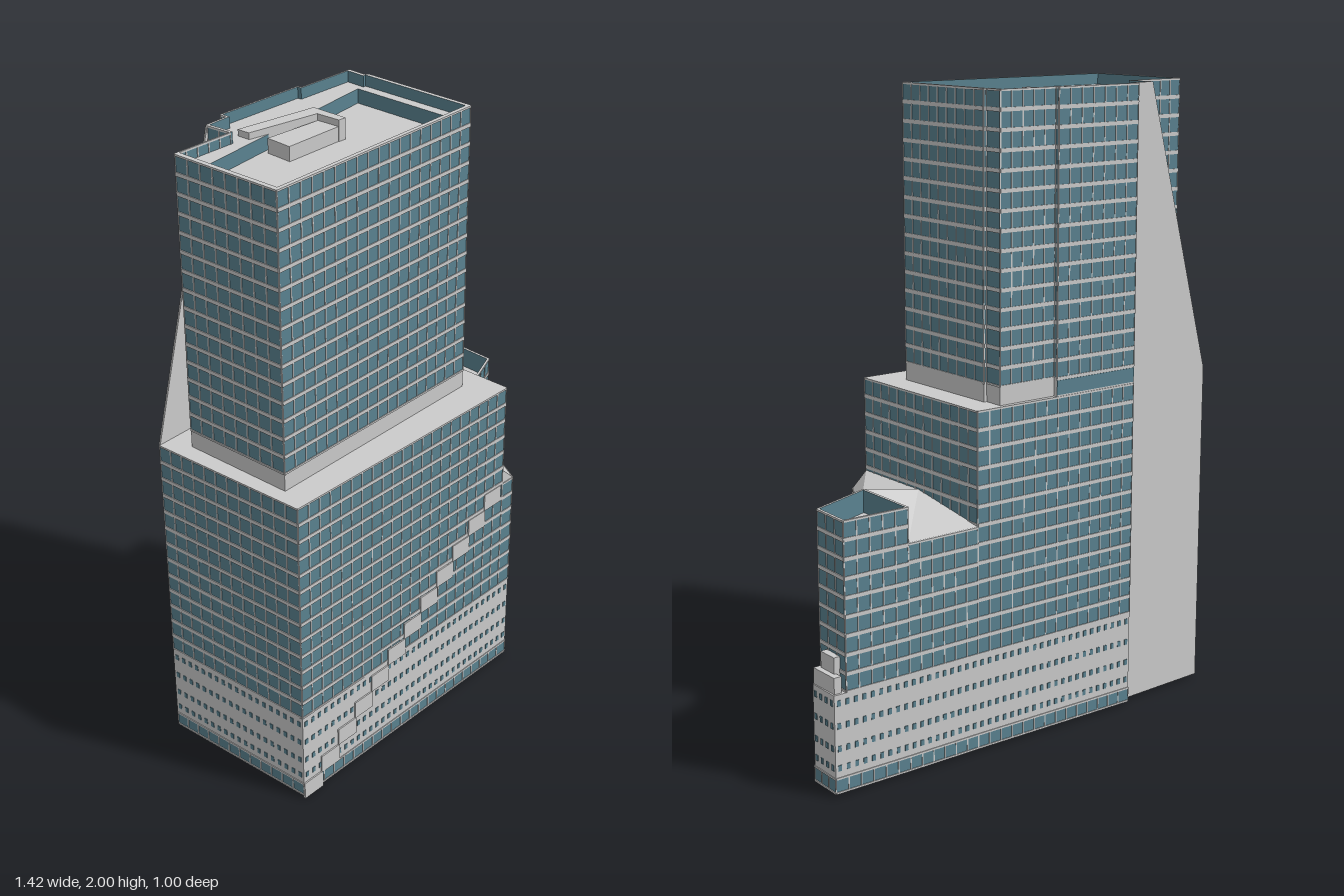
import * as THREE from 'three';
import { mergeGeometries } from 'three/addons/utils/BufferGeometryUtils.js';

const grey = new THREE.MeshStandardMaterial({ color: 0xcccccc });
const greyThin = new THREE.MeshStandardMaterial({ color: 0xcccccc, side: THREE.DoubleSide, flatShading: true });
const glass = new THREE.MeshStandardMaterial({ color: 0x5a8290 });

// Plan points are [x, z]
const A = [-0.71, -0.01], B = [-0.51, 0.49], C = [0.42, 0.19], D = [0.49, -0.2];
const W = [0.42, -0.42], P = [-0.39, -0.13], P2 = [-0.4, -0.155];
const M0 = [0.18, -0.34], M1 = [0.37, 0.206];
const basePlan = [A, B, C, D, [0.67, -0.35], [0.705, -0.39], [0.67, -0.5], W, M0, P2, P];
const midPlan = [A, B, M1, M0, P2, P];
const linkPlan = [M1, C, D, W, M0];
const wingPlan = [W, D, [0.67, -0.35], [0.63, -0.487]];
const towerPlan = [[-0.63, 0.045], [-0.5, 0.395], [0.255, 0.13], [0.125, -0.24], [0.115, -0.237],
  [0.095, -0.3], [-0.1, -0.237], [-0.105, -0.25], P2, P, [-0.467, -0.1], [-0.433, -0.02]];
const pitPlan = [[-0.555, 0.085], [-0.466, 0.335], [0.198, 0.098], [0.084, -0.228]];

const toVectors = (pts) => pts.map(([x, z]) => new THREE.Vector2(x, -z));

// Plan shrunk towards its centre
function inset(pts, k) {
  const cx = pts.reduce((s, p) => s + p[0], 0) / pts.length;
  const cz = pts.reduce((s, p) => s + p[1], 0) / pts.length;
  return pts.map(([x, z]) => [cx + (x - cx) * k, cz + (z - cz) * k]);
}

export function createModel() {
  const model = new THREE.Group();

  function add(name, geometry, material = grey) {
    const mesh = new THREE.Mesh(geometry, material);
    mesh.name = name;
    model.add(mesh);
    return mesh;
  }

  // Upright prism over a plan, with grey caps
  function prism(name, pts, y0, y1, side = grey, hole = null) {
    const shape = new THREE.Shape(toVectors(pts));
    if (hole) shape.holes.push(new THREE.Path(toVectors(hole)));
    const g = new THREE.ExtrudeGeometry(shape, { depth: y1 - y0, bevelEnabled: false });
    g.rotateX(-Math.PI / 2).translate(0, y0, 0);
    return add(name, g, [grey, side]);
  }

  // Box lying along the line p-q between distances s0 and s1
  function wallBox(p, q, s0, s1, y0, y1, thick) {
    const dx = q[0] - p[0], dz = q[1] - p[1], len = Math.hypot(dx, dz);
    const s = (s0 + s1) / 2 / len;
    return new THREE.BoxGeometry(s1 - s0, y1 - y0, thick)
      .rotateY(Math.atan2(-dz, dx))
      .translate(p[0] + dx * s, (y0 + y1) / 2, p[1] + dz * s);
  }

  function eachEdge(pts, skip, fn) {
    pts.forEach((p, i) => {
      if (skip.includes(i)) return;
      const q = pts[(i + 1) % pts.length];
      fn(p, q, Math.hypot(q[0] - p[0], q[1] - p[1]));
    });
  }

  // Floor bands and mullions on the walls of a plan
  function facade(name, pts, y0, y1, floors, skip = []) {
    const parts = [];
    eachEdge(pts, skip, (p, q, len) => {
      for (let f = 0; f <= floors; f++) {
        const y = y0 + (y1 - y0) * f / floors;
        parts.push(wallBox(p, q, 0, len, Math.max(y - 0.006, y0), Math.min(y + 0.006, y1), 0.005));
      }
      const n = Math.max(1, Math.round(len / 0.045));
      for (let i = 0; i <= n; i++) {
        const s = len * i / n;
        parts.push(wallBox(p, q, Math.max(0, s - 0.002), Math.min(len, s + 0.002), y0, y1, 0.004));
      }
    });
    add(name, mergeGeometries(parts));
  }

  // Podium: glazed ground floor below a solid storey band with small windows
  prism('groundFloor', basePlan, 0.01, 0.06, glass);
  facade('groundFloorFrames', basePlan, 0.01, 0.06, 1, [9, 10]);
  prism('podium', basePlan, 0.06, 0.315);
  const windows = [];
  eachEdge(basePlan, [9, 10], (p, q, len) => {
    const n = Math.floor(len / 0.028);
    for (const y of [0.08, 0.14, 0.21, 0.28]) {
      for (let i = 0; i < n; i++) {
        const s = len * (i + 0.5) / n;
        windows.push(wallBox(p, q, s - 0.006, s + 0.006, y, y + 0.018, 0.004));
      }
    }
  });
  add('podiumWindows', mergeGeometries(windows), glass);

  // Middle block
  prism('middleBlock', midPlan, 0.315, 1.075, glass);
  facade('middleBlockFrames', midPlan, 0.315, 1.075, 13, [4, 5]);

  // Stepped solid panels climbing across the front
  const steps = [];
  for (let i = 0; i < 12; i++) {
    const s = i * 0.0757;
    steps.push(wallBox(B, C, s, s + 0.08, i * 0.06, i * 0.06 + 0.06, 0.009));
  }
  add('steppedPanels', mergeGeometries(steps));

  // Low link with a folded roof
  prism('link', linkPlan, 0.315, 0.72, glass);
  facade('linkFrames', linkPlan, 0.315, 0.72, 7, [4]);
  const v = {
    f: [0.37, 0.77, 0.206], g: [0.37, 0.72, 0.206], c: [0.42, 0.72, 0.19], s: [0.465, 0.72, -0.06],
    d: [0.49, 0.83, -0.2], w: [0.42, 0.722, -0.42], m: [0.18, 0.722, -0.34], n: [0.277, 0.77, -0.06], l: [0.49, 0.72, -0.2],
  };
  const fold = ['fcs', 'fsn', 'nsd', 'ndw', 'nwm', 'fgc', 'sld'];
  const roof = new THREE.BufferGeometry();
  roof.setAttribute('position', new THREE.Float32BufferAttribute(fold.flatMap((t) => [...t].flatMap((k) => v[k])), 3));
  roof.computeVertexNormals();
  add('foldedRoof', roof, greyThin);

  // Side wing with an open parapet
  prism('wing', wingPlan, 0.315, 0.76, glass);
  prism('wingParapet', wingPlan, 0.76, 0.83, glass, inset(wingPlan, 0.94));
  facade('wingFrames', wingPlan, 0.315, 0.83, 9);

  // Small terrace blocks on the podium end
  const e0 = [0.655, -0.487], e1 = [0.69, -0.385];
  add('terraceWall', wallBox(e0, e1, 0, 0.108, 0.31, 0.365, 0.025));
  add('terraceBlock', wallBox([0.635, -0.485], [0.67, -0.38], 0.03, 0.1, 0.31, 0.415, 0.03));

  // Tower on a plain collar
  prism('towerCollar', towerPlan, 1.075, 1.13);
  prism('tower', towerPlan, 1.13, 1.92, glass);
  prism('towerLedge', towerPlan, 1.92, 1.965, glass, pitPlan);
  prism('towerParapet', towerPlan, 1.965, 2, glass, inset(towerPlan, 0.97));
  facade('towerFrames', towerPlan, 1.13, 2, 15, [9]);
  const flush = wallBox(towerPlan[7], P2, 0, 0.309, 1.08, 1.125, 0.003);
  add('flushGlass', flush, glass);

  // Rooftop plant room and its screen wall
  prism('plantRoom', [[-0.325, -0.01], [-0.3, 0.075], [-0.11, 0.01], [-0.14, -0.06]], 1.92, 1.965);
  prism('plantScreen', [[-0.39, -0.065], [-0.375, -0.025], [-0.14, -0.062], [-0.11, 0.012],
    [-0.085, 0.005], [-0.125, -0.112]], 1.92, 1.985);

  // Tapering blank wall at the back corner
  const len = Math.hypot(P[0] - A[0], P[1] - A[1]);
  const outline = [[0, 0.01], [len, 0.01], [len, 2], [len - 0.085, 2], [0, 1.075]];
  const fin = add('taperedWall', new THREE.ExtrudeGeometry(
    new THREE.Shape(outline.map(([x, y]) => new THREE.Vector2(x, y))), { depth: 0.006, bevelEnabled: false }));
  fin.position.set(A[0], 0, A[1] - 0.004);
  fin.rotation.y = Math.atan2(A[1] - P[1], P[0] - A[0]);

  return model;
}
